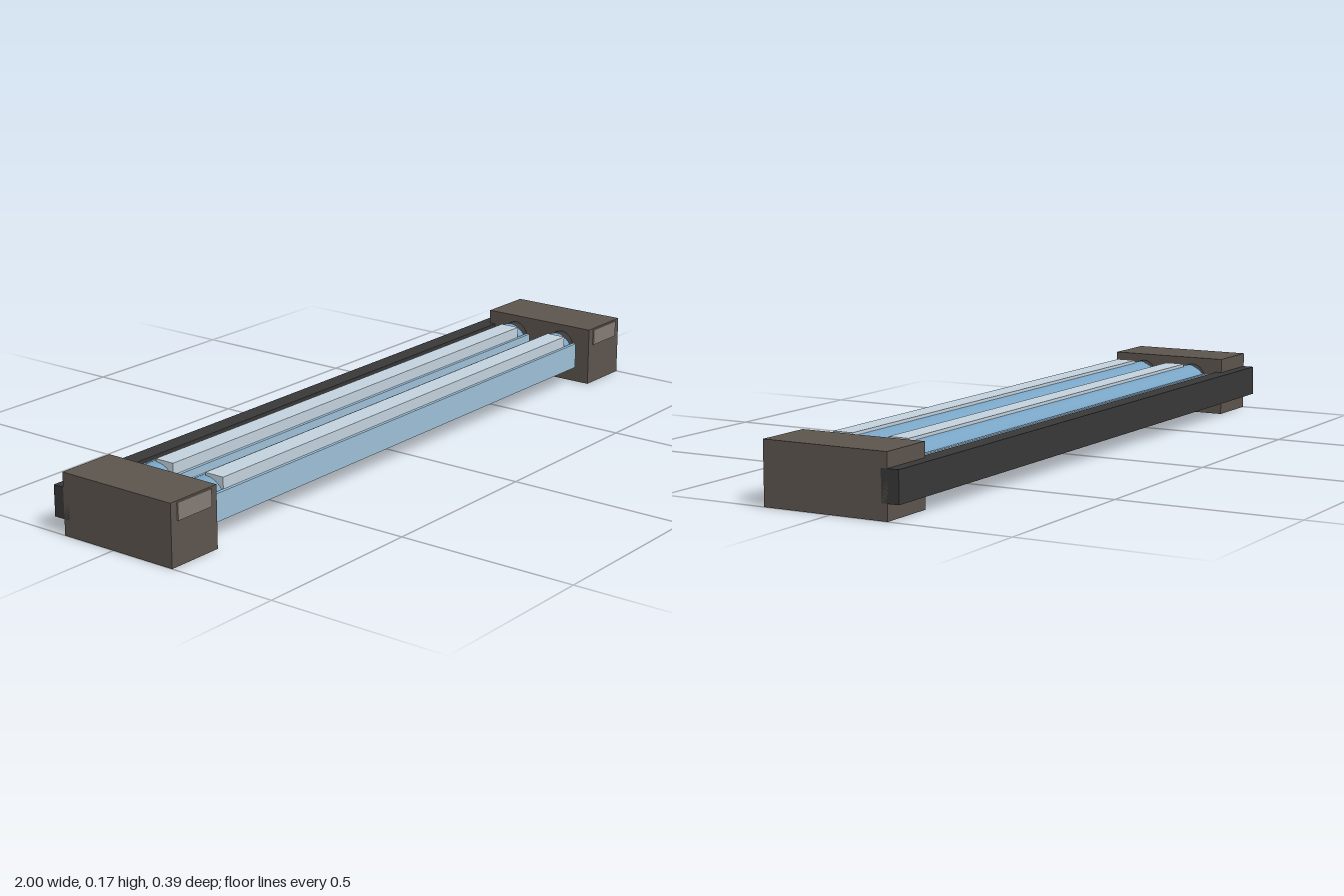
import * as THREE from 'three';

const paint = (color) => new THREE.MeshStandardMaterial({ color });

export function createModel() {
  const model = new THREE.Group();
  const housing = paint(0x5d554e), dark = paint(0x383838), label = paint(0x857c75);
  const glass = paint(0x7aa5c6), pane = paint(0x9dbfd8), pale = paint(0xc3d2dd);

  // box given by its lower and upper corners
  const box = (name, a, b, material, parent = model) => {
    const mesh = new THREE.Mesh(new THREE.BoxGeometry(b[0] - a[0], b[1] - a[1], b[2] - a[2]), material);
    mesh.position.set((a[0] + b[0]) / 2, (a[1] + b[1]) / 2, (a[2] + b[2]) / 2);
    mesh.name = name;
    parent.add(mesh);
    return mesh;
  };

  // cylinder lying along x
  const rod = (name, radius, length, x, material, parent) => {
    const geometry = new THREE.CylinderGeometry(radius, radius, length, 32).rotateZ(Math.PI / 2);
    const mesh = new THREE.Mesh(geometry, material);
    mesh.position.x = x;
    mesh.name = name;
    parent.add(mesh);
    return mesh;
  };

  // rear rail
  box('rearRail', [-1, 0.043, -0.195], [1, 0.127, -0.145], dark);

  // end blocks with a raised plate on the front
  for (const side of [-1, 1]) {
    const end = new THREE.Group();
    end.name = side > 0 ? 'leftEndBlock' : 'rightEndBlock';
    model.add(end);
    box('endHousing', [-0.082, 0, -0.163], [0.082, 0.167, 0.193], housing, end);
    box('frontPlate', [-0.06, 0.117, 0.19], [0.06, 0.163, 0.197], label, end);
    end.position.x = side * 0.918;
  }

  // two tubes, each with sockets, side panes and a pale strip on top
  for (const z of [-0.067, 0.098]) {
    const tube = new THREE.Group();
    tube.name = z > 0 ? 'frontTube' : 'rearTube';
    tube.position.set(0, 0.0875, z);
    model.add(tube);
    rod('tubeBody', 0.06, 1.61, 0, glass, tube);
    for (const side of [-1, 1]) {
      rod('socket', 0.06, 0.06, side * 0.82, dark, tube).scale.z = 0.76;
      const pz = side * 0.058;
      box('sidePane', [-0.815, -0.037, pz - 0.005], [0.815, 0.037, pz + 0.005], pane, tube);
    }
    box('topStrip', [-0.765, 0.036, -0.004], [0.765, 0.068, 0.054], pale, tube);
  }
  return model;
}
